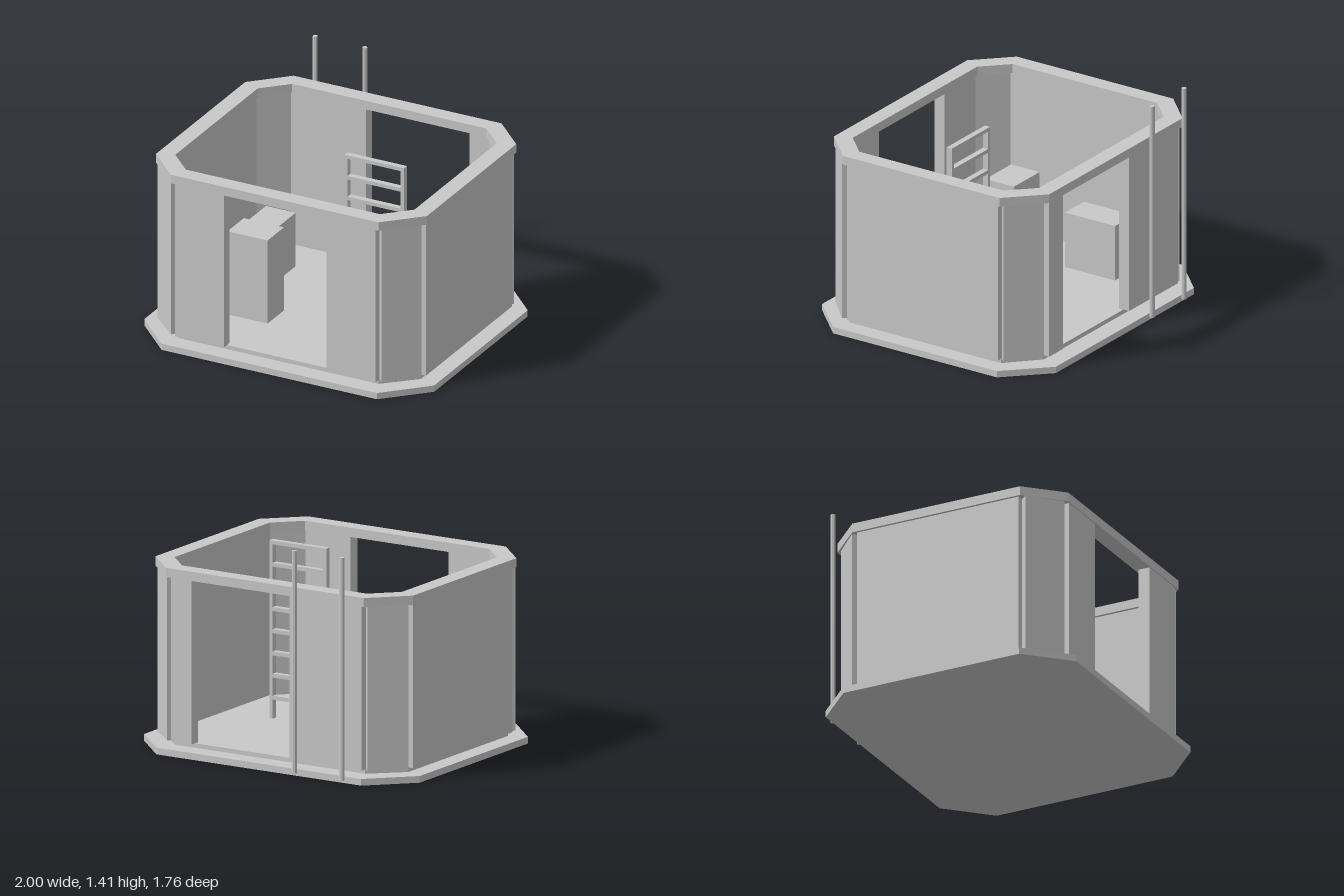
import * as THREE from 'three';

const FLOOR = 0.07, WALL_TOP = 1.1;

// Corners of a chamfered rectangle: half sizes and half lengths of the flats
function octagon(hx, hz, fx, fz) {
  return [[hx, -fz], [hx, fz], [fx, hz], [-fx, hz], [-hx, fz], [-hx, -fz], [-fx, -hz], [fx, -hz]]
    .map(([x, y]) => new THREE.Vector2(x, y));
}

export function createModel() {
  const group = new THREE.Group();
  const grey = new THREE.MeshStandardMaterial({ color: 0xc8c8c8 });

  function add(name, geometry, x = 0, y = 0, z = 0) {
    const mesh = new THREE.Mesh(geometry, grey);
    mesh.name = name;
    mesh.position.set(x, y, z);
    group.add(mesh);
    return mesh;
  }

  // Box given by its limits on each axis
  function block(name, x0, x1, y0, y1, z0, z1) {
    return add(name, new THREE.BoxGeometry(x1 - x0, y1 - y0, z1 - z0),
      (x0 + x1) / 2, (y0 + y1) / 2, (z0 + z1) / 2);
  }

  // Flat eight-sided plate, with an optional opening
  function plate(name, outer, y0, y1, z, inner) {
    const shape = new THREE.Shape(octagon(...outer));
    if (inner) shape.holes.push(new THREE.Path(octagon(...inner).reverse()));
    const geometry = new THREE.ExtrudeGeometry(shape, { depth: y1 - y0, bevelEnabled: false });
    geometry.rotateX(-Math.PI / 2);
    return add(name, geometry, 0, y0, z);
  }

  // Base, raised floor and roof rim
  plate('base', [1, 0.8625, 0.743, 0.605], 0, 0.042, 0.0165);
  plate('floor', [0.885, 0.74, 0.69, 0.5575], 0.042, FLOOR, 0.02);
  plate('roofRim', [0.935, 0.795, 0.717, 0.5775], WALL_TOP, 1.158, 0.0155,
    [0.825, 0.6875, 0.67, 0.5325], 0.0125);

  // Straight walls overhang the floor, with a doorway at the front and another at the back
  const t = 0.075;
  for (const s of [-1, 1]) {
    const name = s > 0 ? 'leftWall' : 'rightWall';
    const x0 = s > 0 ? 0.918 - t : -0.918;
    block(name, x0, x0 + t, FLOOR, WALL_TOP, -0.538, 0.575);
  }
  block('frontWallRight', -0.692, -0.355, FLOOR, WALL_TOP, 0.802 - t, 0.802);
  block('frontWallLeft', 0.355, 0.692, FLOOR, WALL_TOP, 0.802 - t, 0.802);
  block('backWallRight', -0.692, -0.168, FLOOR, WALL_TOP, -0.762, -0.762 + t);
  block('backWallLeft', 0.545, 0.692, FLOOR, WALL_TOP, -0.762, -0.762 + t);

  // Diagonal corner panels, separated from the walls by narrow grooves
  const dx = 0.195, dz = 0.1825, diagonal = Math.hypot(dx, dz);
  const length = 0.252, proud = 0.047, shift = proud - t / 2;
  for (const sx of [-1, 1]) {
    for (const sz of [-1, 1]) {
      const panel = add('cornerPanel', new THREE.BoxGeometry(length, WALL_TOP - FLOOR, t),
        sx * (0.7875 + shift * dz / diagonal), (FLOOR + WALL_TOP) / 2,
        0.02 + sz * (0.64875 + shift * dx / diagonal));
      panel.rotation.y = sx * sz * Math.atan2(dz, dx);
    }
  }

  // Cabinets inside
  block('tallCabinet', -0.557, -0.28, FLOOR, 0.63, 0.165, 0.376);
  block('lowCabinet', -0.717, -0.512, FLOOR, 0.43, -0.422, -0.052);

  // Ladder
  for (const x of [0.108, 0.497]) block('ladderRail', x, x + 0.023, FLOOR, 1.185, 0.074, 0.112);
  for (let i = 0; i < 8; i++) {
    const y = 0.2 + i * 0.139;
    block('ladderRung', 0.13, 0.498, y - 0.012, y + 0.012, 0.074, 0.112);
  }

  // Upright poles behind the back wall
  for (const x of [-0.613, -0.27]) {
    const pole = new THREE.CylinderGeometry(0.016, 0.016, 1.395, 8).toNonIndexed();
    pole.computeVertexNormals();
    add('pole', pole, x, 0.7175, -0.863);
  }

  return group;
}
